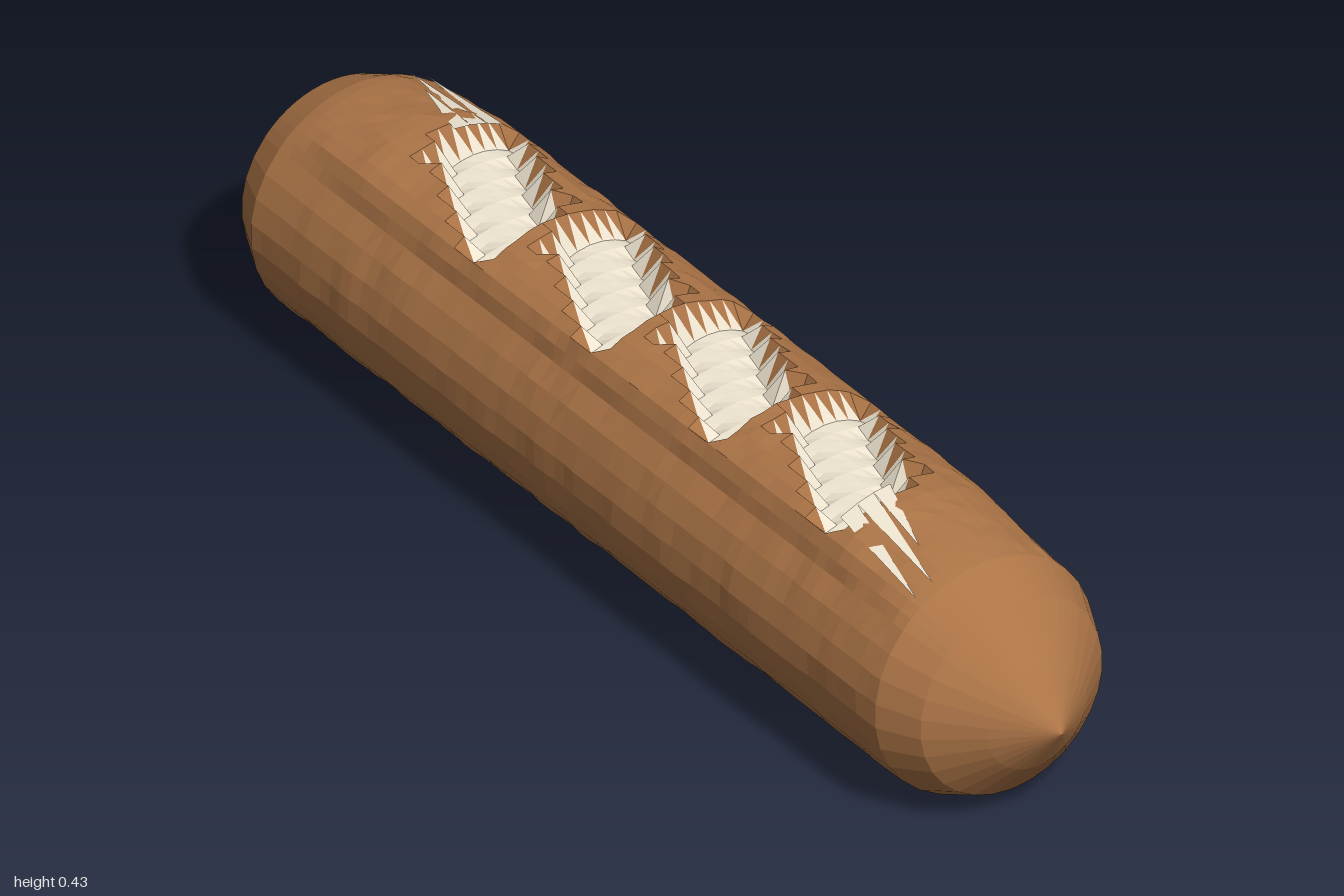
import * as THREE from 'three';

const CY = 0.202;                          // height of the loaf's axis
const CUTS = [-0.45, -0.15, 0.15, 0.45];   // centres of the slashes along x
const DEG = Math.PI / 180;

// repeatable noise in -1..1
const noise = (i, j) => {
  const s = Math.sin(i * 12.99 + j * 78.23) * 43758.55;
  return 2 * (s - Math.floor(s)) - 1;
};

// radius of the crust, swollen along the scored top
function crustRadius(x, deg) {
  const a = Math.abs(deg), ax = Math.abs(x);
  const end = THREE.MathUtils.clamp((0.82 - ax) / 0.2, 0, 1);
  const side = THREE.MathUtils.clamp((48 - a) / 11, 0, 1);
  return 0.198 + 0.024 * end * side;
}

// one surface point; floor marks points lying at the bottom of a slash
function surfacePoint(x, capRadius, deg, i, j) {
  const onBody = Math.abs(x) < 0.8;
  let r = capRadius;
  if (onBody) r = crustRadius(x, deg) + 0.0018 * noise(i >> 1, j);
  let y = r * Math.cos(deg * DEG) + CY;
  const z = r * Math.sin(deg * DEG);
  let floor = false;
  if (onBody && Math.abs(deg) < 45) {
    for (const c of CUTS) {
      const u = x - c, v = z - 0.4 * u;
      const half = 0.066 + (i % 2) * 0.022;      // toothed rim
      if (Math.abs(u) < 0.14 && Math.abs(v) < half) {
        y = Math.min(y, 0.353 + 0.02 * (1 - (v / half) ** 2));
        floor = true;
      }
    }
  }
  return { p: [x, y, z], floor };
}

function meshFrom(name, positions, color, side = THREE.FrontSide) {
  const g = new THREE.BufferGeometry();
  g.setAttribute('position', new THREE.Float32BufferAttribute(positions, 3));
  g.computeVertexNormals();
  const mesh = new THREE.Mesh(g, new THREE.MeshStandardMaterial({ color, flatShading: true, side }));
  mesh.name = name;
  return mesh;
}

export function createModel() {
  const group = new THREE.Group();
  group.name = 'baguette';
  const CRUST = 0xad7547, CRUMB = 0xf0e6d2;

  // stations along the loaf: pointed cap, body, pointed cap
  const cap = [[1, 0], [0.935, 0.09], [0.87, 0.165], [0.8, 0.198]];
  const stations = cap.map(([x, r]) => [-x, r]);
  for (let k = 1; k < 64; k++) stations.push([-0.8 + k * 0.025, 0.198]);
  stations.push(...cap.slice().reverse());

  // angles from the top: fine over the slashes, coarse elsewhere
  const angles = [];
  for (let a = -48; a < 48; a += 6) angles.push(a);
  for (let a = 48; a <= 312; a += 12) angles.push(a);

  const rings = stations.map(([x, r], i) => angles.map((a, j) => {
    const jj = j === angles.length - 1 ? 0 : j;
    return surfacePoint(x, r, angles[jj], i, jj);
  }));

  // triangles mostly on a slash floor are crumb, the rest crust
  const crust = [], crumb = [];
  const addTriangle = (...t) => {
    const target = t.filter(q => q.floor).length >= 2 ? crumb : crust;
    t.forEach(q => target.push(...q.p));
  };
  for (let i = 0; i < rings.length - 1; i++) {
    for (let j = 0; j < angles.length - 1; j++) {
      const a = rings[i][j], b = rings[i][j + 1], c = rings[i + 1][j], d = rings[i + 1][j + 1];
      if (i > 0) addTriangle(a, b, c);
      if (i < rings.length - 2) addTriangle(b, d, c);
      else if (i === rings.length - 2) addTriangle(a, b, d);
    }
  }
  // the last cap fan already has its first triangle; drop the zero-area copies
  group.add(meshFrom('crust', crust, CRUST));
  group.add(meshFrom('crumb', crumb, CRUMB));

  // thin torn streaks running out of the two end slashes
  const streaks = [];
  const onCrust = (x, z, s) => {
    const r = crustRadius(x, Math.asin(z / 0.21) / DEG) + 0.004;
    return [s * x, CY + Math.sqrt(r * r - z * z), s * z];
  };
  for (const s of [1, -1]) {
    for (const [z, tipZ, tipX] of [[0.03, 0.06, 0.72], [0.06, 0.085, 0.79], [0.09, 0.115, 0.79]]) {
      streaks.push(...onCrust(0.58, z - 0.015, s), ...onCrust(0.58, z + 0.015, s), ...onCrust(tipX, tipZ, s));
    }
  }
  group.add(meshFrom('tornStreaks', streaks, CRUMB, THREE.DoubleSide));
  return group;
}
